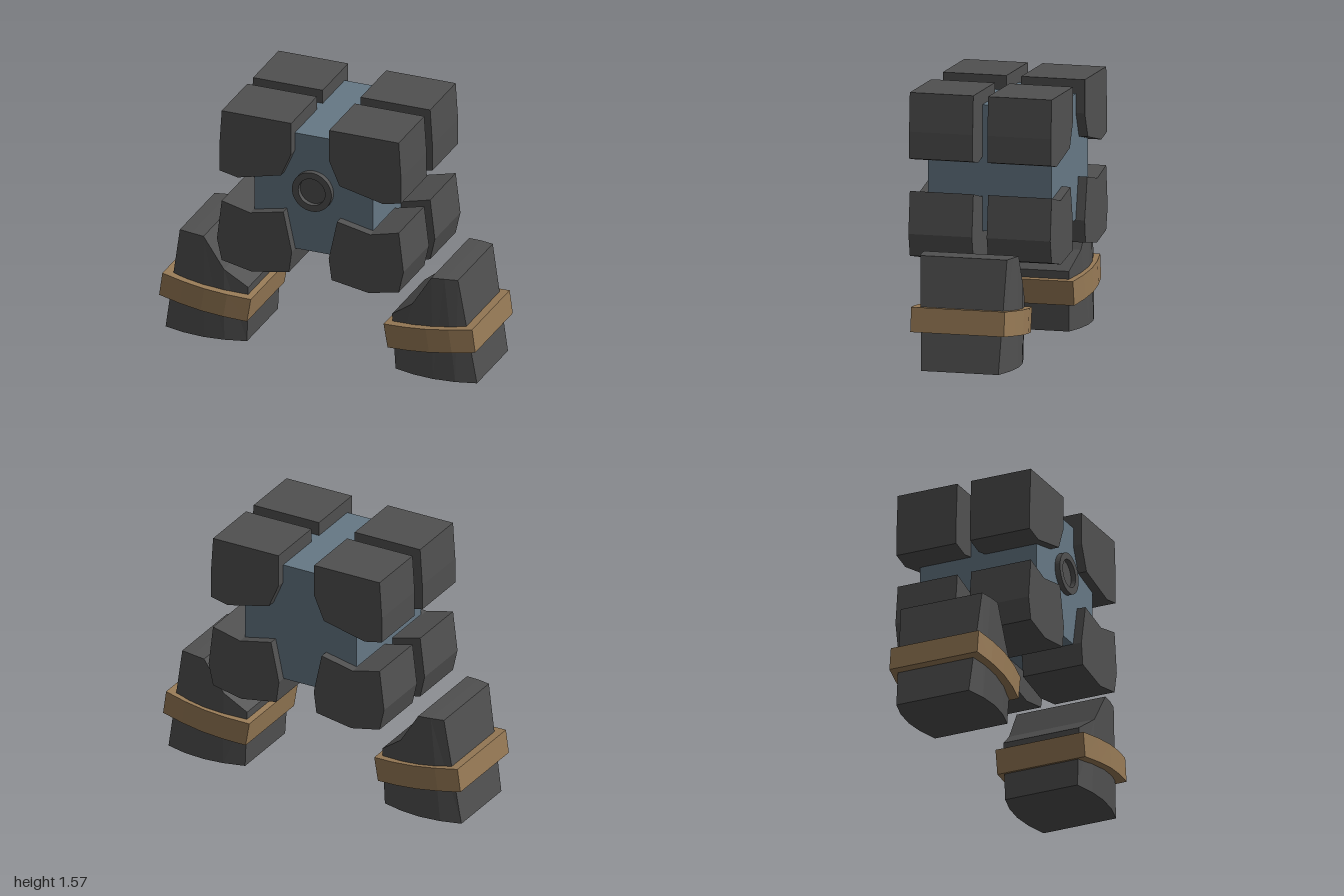
import * as THREE from 'three';

const mat = (name, color) => {
  const m = new THREE.MeshStandardMaterial({ color });
  m.name = name;
  return m;
};

// Solid through columns along x: [xBottom, yBottom, xTop, yTop, halfZBottom, halfZTop]; s = -1 mirrors it.
function loft(columns, s, zBottom, zTop) {
  const pos = [];
  const sections = columns.map(([xb, yb, xt, yt, hb, ht]) => [
    [s * xb, yb, zBottom + hb], [s * xt, yt, zTop + ht],
    [s * xt, yt, zTop - ht], [s * xb, yb, zBottom - hb],
  ]);
  const quad = (a, b, c, d) => {
    const order = s > 0 ? [a, b, c, a, c, d] : [a, c, b, a, d, c];
    order.forEach((p) => pos.push(...p));
  };
  for (let i = 0; i < sections.length - 1; i++) {
    const a = sections[i], b = sections[i + 1];
    for (let j = 0; j < 4; j++) quad(a[j], b[j], b[(j + 1) % 4], a[(j + 1) % 4]);
  }
  const a = sections[0], b = sections[sections.length - 1];
  quad(a[3], a[0], a[1], a[2]);
  quad(b[0], b[3], b[2], b[1]);
  const g = new THREE.BufferGeometry();
  g.setAttribute('position', new THREE.Float32BufferAttribute(pos, 3));
  g.computeVertexNormals();
  return g;
}

export function createModel() {
  const dark = mat('charcoal', 0x505050);
  const blue = mat('slate blue', 0x667885);
  const tan = mat('tan', 0x977a56);
  const model = new THREE.Group();
  const add = (name, geometry, material, x = 0, y = 0, z = 0) => {
    const mesh = new THREE.Mesh(geometry, material);
    mesh.name = name;
    mesh.position.set(x, y, z);
    model.add(mesh);
  };
  const CX = 0.01; // body centre line

  // Cube body
  add('body', new THREE.BoxGeometry(0.75, 0.75, 0.755), blue, CX, 1.11, 0);

  // Round port on the front
  const ring = new THREE.Shape().absarc(0, 0, 0.125, 0, Math.PI * 2);
  ring.holes.push(new THREE.Path().absarc(0, 0, 0.085, 0, Math.PI * 2, true));
  add('portRing', new THREE.ExtrudeGeometry(ring, { depth: 0.045, bevelEnabled: false, curveSegments: 24 }),
    dark, CX, 1.135, 0.365);
  add('portFloor', new THREE.CircleGeometry(0.09, 48), dark, CX, 1.135, 0.38);

  // Eight corner blocks, profiles measured from the body centre line
  const profiles = {
    upperBlock: [[0.12, 1.57], [0.56, 1.57], [0.575, 1.34], [0.575, 1.18], [0.46, 1.155], [0.185, 1.22], [0.12, 1.37]],
    lowerBlock: [[0.17, 0.985], [0.38, 0.94], [0.56, 0.985], [0.59, 0.735], [0.56, 0.6], [0.37, 0.56],
      [0.135, 0.6], [0.117, 0.735]],
  };
  for (const [name, points] of Object.entries(profiles)) {
    for (const s of [1, -1]) {
      const shape = new THREE.Shape(points.map(([x, y]) => new THREE.Vector2(s * x, y)));
      const geometry = new THREE.ExtrudeGeometry(shape, { depth: 0.387, bevelEnabled: false });
      for (const z of [0.045, -0.432]) {
        add(`${name}${s > 0 ? 'Left' : 'Right'}${z > 0 ? 'Front' : 'Back'}`, geometry, dark, CX, 0, z);
      }
    }
  }

  // Feet with bulging sides, sloped on the inner side
  const foot = [
    [0.47, 0, 0.455, 0.36, 0.235, 0.245],
    [0.6, 0, 0.595, 0.465, 0.268, 0.277],
    [0.725, 0, 0.72, 0.662, 0.28, 0.288],
    [0.86, 0, 0.8, 0.665, 0.268, 0.28],
    [0.985, 0, 0.88, 0.665, 0.235, 0.264],
  ];
  // Tilted bands around the feet
  const band = [[0, 0.285], [0.25, 0.31], [0.5, 0.32], [0.75, 0.31], [1, 0.285]].map(([t, h]) => [
    0.445 + 0.555 * t, 0.16 + 0.07 * t, 0.42 + 0.56 * t, 0.308 + 0.067 * t, h, h,
  ]);
  for (const s of [1, -1]) {
    const side = s > 0 ? 'Left' : 'Right';
    add(`foot${side}`, loft(foot, s, 0.005, 0.012), dark);
    add(`footBand${side}`, loft(band, s, 0.017, 0.017), tan);
  }
  return model;
}
